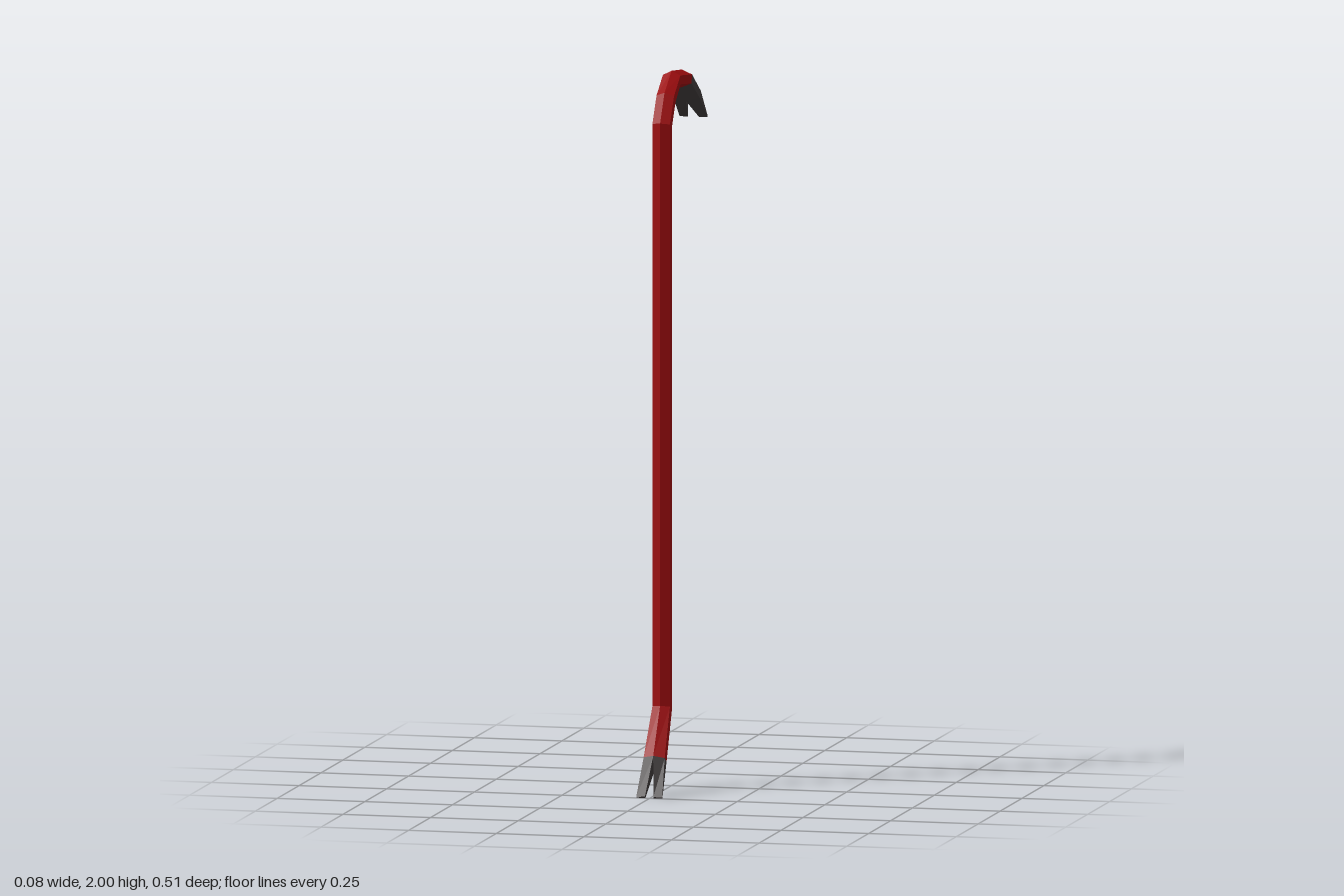
import * as THREE from 'three';

const red = new THREE.MeshStandardMaterial({ color: 0x9c0c0e, flatShading: true });
red.name = 'red paint';
const steel = new THREE.MeshStandardMaterial({ color: 0x403b3b, flatShading: true });
steel.name = 'dark steel';

// Section: outer ridge [z, y], inner ridge [z, y], half width, half gap at a claw tip
const lowerTip = { o: [0.255, 0.005], i: [0.25, 0], w: 0.037, gap: 0.012 };
const lowerRoot = { o: [0.208, 0.113], i: [0.165, 0.087], w: 0.03 };
const bar = [
  lowerRoot,
  { o: [0.13, 0.242], i: [0.08, 0.228], w: 0.025 },
  { o: [0.13, 1.871], i: [0.08, 1.857], w: 0.025 },
  { o: [0.079, 1.95], i: [0.045, 1.911], w: 0.025 },
  { o: [-0.002, 2.0], i: [-0.005, 1.95], w: 0.025 },
  { o: [-0.118, 1.987], i: [-0.106, 1.938], w: 0.03 },
];
const upperRoot = bar[bar.length - 1];
const upperFork = { o: [-0.19, 1.928], i: [-0.163, 1.893], w: 0.038 };
const upperTip = { o: [-0.255, 1.84], i: [-0.252, 1.835], w: 0.04, gap: 0.016 };

// Right-angle half of the hexagon: ridge, two side corners, ridge
function halfLoop({ o, i, w, gap = 0 }, side = 1) {
  const at = (x, t) => [x * side, o[1] + (i[1] - o[1]) * t, o[0] + (i[0] - o[0]) * t];
  const loop = [at(gap, 0), at(w, 0.25), at(w, 0.75), at(gap, 1)];
  return side > 0 ? loop : loop.reverse();
}

function hexLoop(s) {
  return [...halfLoop(s, 1), ...halfLoop(s, -1).slice(1, 3)];
}

// Skin a row of loops and cap both ends
function loft(name, loops, material) {
  const pos = [];
  const tri = (a, b, c) => pos.push(...a, ...b, ...c);
  const n = loops[0].length;
  for (let k = 0; k < loops.length - 1; k++) {
    const a = loops[k], b = loops[k + 1];
    for (let j = 0; j < n; j++) {
      const m = (j + 1) % n;
      tri(a[j], a[m], b[m]);
      tri(a[j], b[m], b[j]);
    }
  }
  const first = loops[0], last = loops[loops.length - 1];
  for (let j = 1; j < n - 1; j++) {
    tri(first[0], first[j + 1], first[j]);
    tri(last[0], last[j], last[j + 1]);
  }
  const geometry = new THREE.BufferGeometry();
  geometry.setAttribute('position', new THREE.Float32BufferAttribute(pos, 3));
  geometry.computeVertexNormals();
  const mesh = new THREE.Mesh(geometry, material);
  mesh.name = name;
  return mesh;
}

export function createModel() {
  const group = new THREE.Group();
  group.name = 'crowbar';

  // Painted hexagonal bar with the hook
  group.add(loft('bar', bar.map(hexLoop), red));

  // Solid neck of the hooked claw
  group.add(loft('upperClawNeck', [upperRoot, upperFork].map(hexLoop), steel));

  // Split prongs at both ends
  for (const side of [1, -1]) {
    const label = side > 0 ? 'Left' : 'Right';
    const prong = (name, ...sections) =>
      group.add(loft(name + label, sections.map((s) => halfLoop(s, side)), steel));
    prong('upperProng', upperFork, upperTip);
    prong('lowerProng', lowerTip, lowerRoot);
  }
  return group;
}
